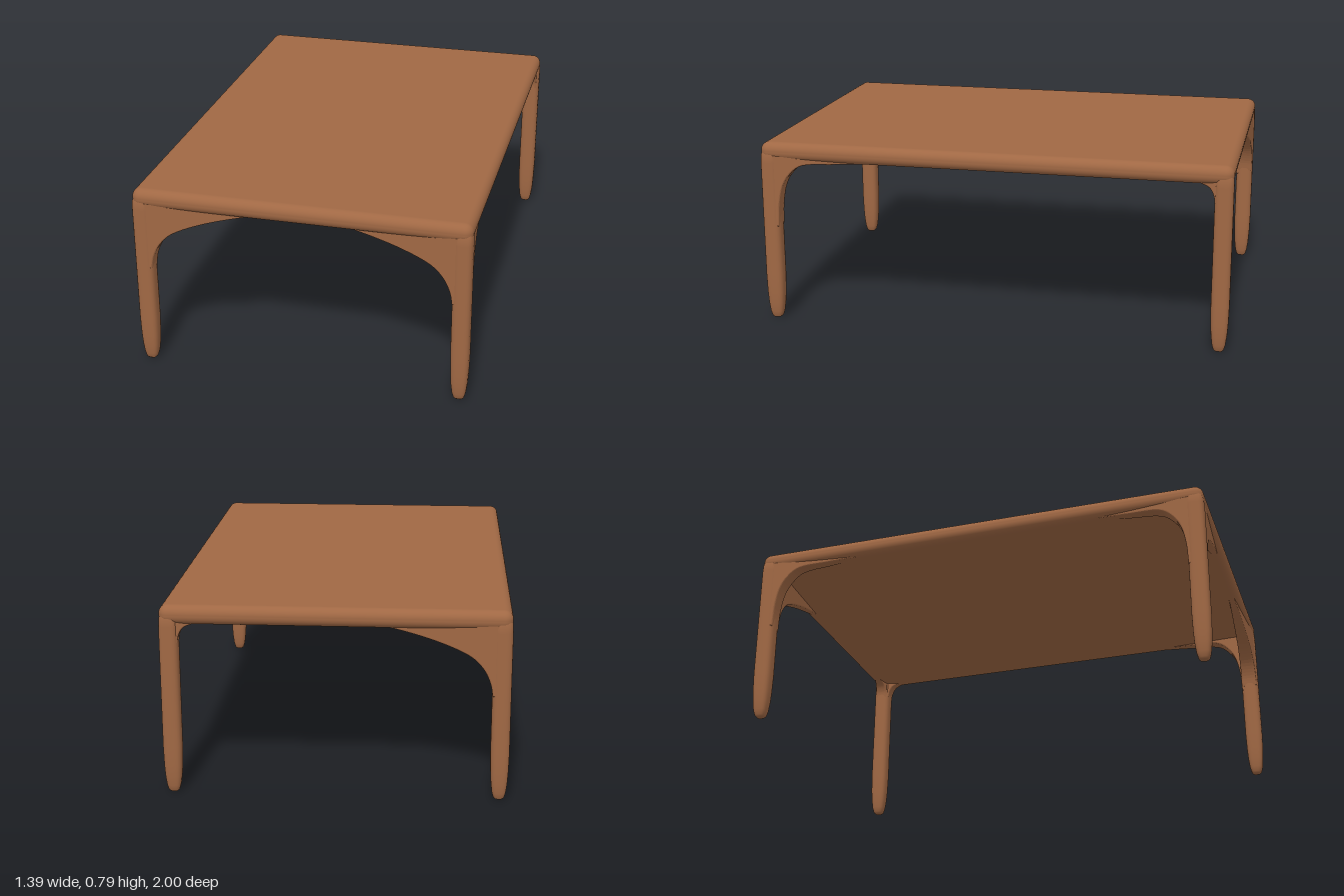
import * as THREE from 'three';
import { RoundedBoxGeometry } from 'three/addons/geometries/RoundedBoxGeometry.js';
import { mergeVertices } from 'three/addons/utils/BufferGeometryUtils.js';

const LEG_X = 0.656, LEG_Z = 0.96;

// Curved undersides: distance from the leg centre, height
const WIDE = [[0.036, 0.44], [0.045, 0.49], [0.07, 0.545], [0.11, 0.59], [0.16, 0.62], [0.26, 0.66], [0.36, 0.69], [0.45, 0.712]];
const SIDE = [[0.036, 0.42], [0.042, 0.52], [0.06, 0.6], [0.09, 0.65], [0.14, 0.69], [0.28, 0.703], [0.45, 0.712]];
const SMALL = [[0.036, 0.63], [0.042, 0.665], [0.06, 0.695], [0.1, 0.712]];

// Squared round leg with a softly tapered foot
function legGeometry() {
  const profile = [[0, 0], [0.015, 0.001], [0.022, 0.008], [0.028, 0.03], [0.033, 0.07],
    [0.036, 0.12], [0.038, 0.2], [0.038, 0.45], [0.038, 0.7], [0.036, 0.735], [0.026, 0.755]];
  const geo = new THREE.LatheGeometry(profile.map(([r, y]) => new THREE.Vector2(r, y)), 32);
  const p = geo.attributes.position;
  for (let i = 0; i < p.count; i++) {
    const x = p.getX(i), z = p.getZ(i), r = Math.hypot(x, z);
    if (r < 1e-6) continue;
    const k = Math.pow(Math.pow(Math.abs(x / r), 3.5) + Math.pow(Math.abs(z / r), 3.5), -1 / 3.5);
    p.setX(i, x * k);
    p.setZ(i, z * k);
  }
  geo.deleteAttribute('uv');
  geo.deleteAttribute('normal');
  const welded = mergeVertices(geo, 1e-5);
  welded.computeVertexNormals();
  return welded;
}

// Bracket that thins towards its tip under the top
function bracketGeometry(points) {
  const curve = new THREE.CatmullRomCurve3(points.map(([u, y]) => new THREE.Vector3(u, y, 0)), false, 'centripetal');
  const tip = points[points.length - 1][0];
  const shape = new THREE.Shape();
  shape.moveTo(0, points[0][1]);
  curve.getPoints(28).forEach((v) => shape.lineTo(v.x, v.y));
  shape.lineTo(tip, 0.735);
  shape.lineTo(0, 0.735);
  const geo = new THREE.ExtrudeGeometry(shape, {
    depth: 0.054, bevelEnabled: true, bevelSize: 0.006, bevelThickness: 0.009, bevelOffset: -0.006, bevelSegments: 3,
  });
  geo.translate(0, 0, -0.027);
  const p = geo.attributes.position;
  for (let i = 0; i < p.count; i++) p.setZ(i, p.getZ(i) * (1 - 0.65 * p.getX(i) / tip));
  geo.computeVertexNormals();
  return geo;
}

export function createModel() {
  const group = new THREE.Group();
  const wood = new THREE.MeshStandardMaterial({ color: 0xa06844 });
  wood.name = 'brownWood';

  const add = (name, geo, x = 0, y = 0, z = 0, turn = 0) => {
    const mesh = new THREE.Mesh(geo, wood);
    mesh.name = name;
    mesh.position.set(x, y, z);
    mesh.rotation.y = turn;
    group.add(mesh);
  };

  // Table top
  add('tableTop', new RoundedBoxGeometry(1.385, 0.078, 1.995, 6, 0.036), 0, 0.748, 0);

  // Legs and brackets; the back left corner has only small ones
  const leg = legGeometry();
  const wide = bracketGeometry(WIDE), side = bracketGeometry(SIDE), small = bracketGeometry(SMALL);
  for (const sx of [-1, 1]) {
    for (const sz of [-1, 1]) {
      const x = sx * LEG_X, z = sz * LEG_Z;
      const plain = sx > 0 && sz < 0;
      const label = (sz > 0 ? 'front' : 'back') + (sx > 0 ? 'Left' : 'Right');
      add(label + 'Leg', leg, x, 0, z);
      add(label + 'EndBracket', plain ? small : wide, x, 0, z, sx > 0 ? Math.PI : 0);
      add(label + 'SideBracket', plain ? small : side, x, 0, z, sz * Math.PI / 2);
    }
  }
  return group;
}
